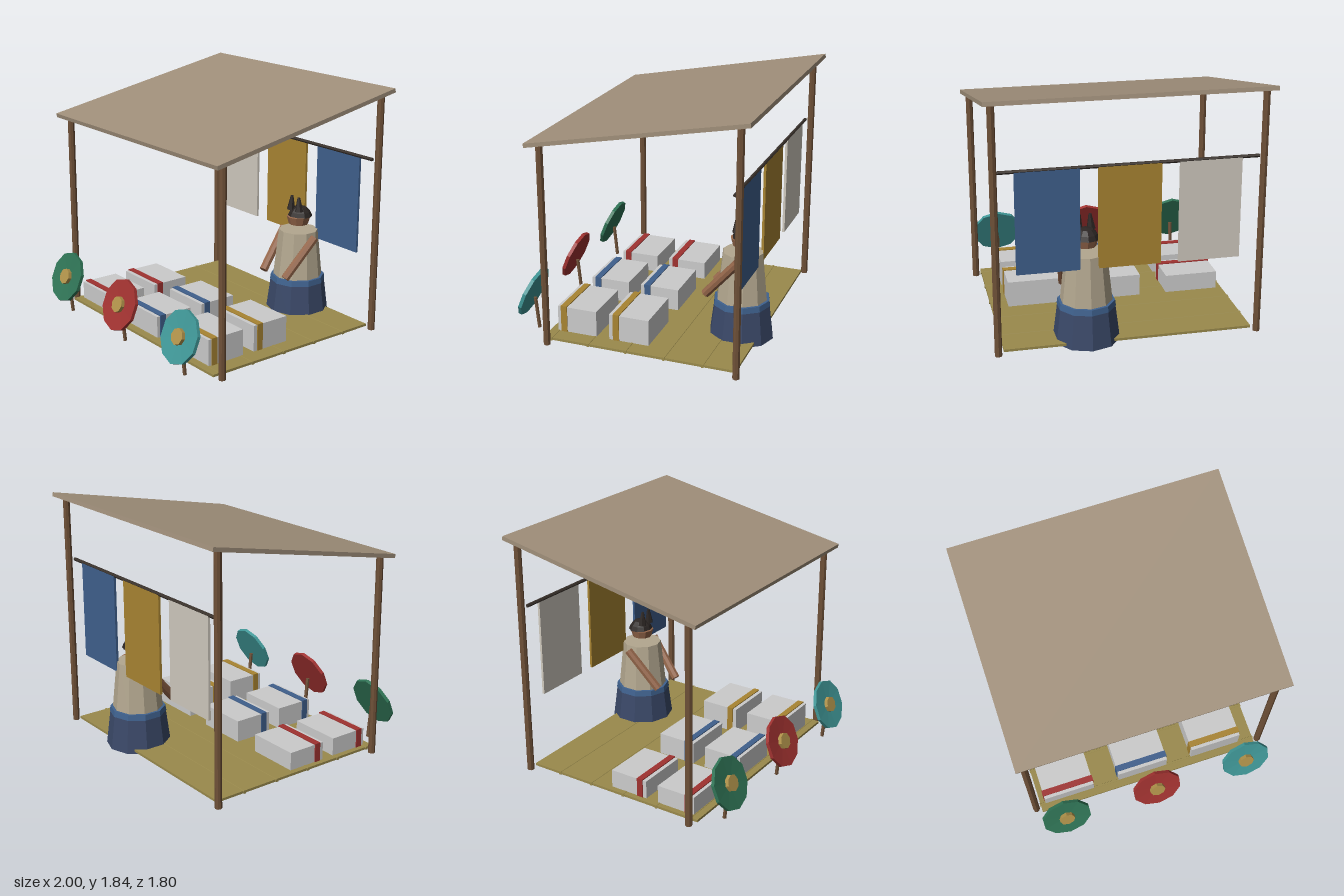
import * as THREE from 'three';

const mat = (color, side = THREE.FrontSide) =>
  new THREE.MeshStandardMaterial({ color, flatShading: true, side });

const M = {
  roof: mat(0xa08f7a), wood: mat(0x6f5138), rail: mat(0x3a322c), matting: mat(0x9a8a4c),
  grey: mat(0xcccccc), cream: mat(0xcfc9be), gold: mat(0xa88432), blue: mat(0x3f5f8c),
  red: mat(0xa03230), green: mat(0x2f7355), teal: mat(0x3f9696), hub: mat(0xb0924a),
  skin: mat(0x94664a), hair: mat(0x2c2624),
  robe: mat(0xb3a78f, THREE.DoubleSide), skirt: mat(0x3a4868, THREE.DoubleSide),
  sash: mat(0x3f628f, THREE.DoubleSide),
};

function add(parent, name, geometry, material, x = 0, y = 0, z = 0) {
  const mesh = new THREE.Mesh(geometry, material);
  mesh.name = name;
  mesh.position.set(x, y, z);
  parent.add(mesh);
  return mesh;
}

const box = (w, h, d) => new THREE.BoxGeometry(w, h, d);

// Rod between two points
function rod(parent, name, a, b, r, sides, material) {
  const from = new THREE.Vector3(...a), to = new THREE.Vector3(...b);
  const dir = to.clone().sub(from);
  const mesh = add(parent, name, new THREE.CylinderGeometry(r, r, dir.length(), sides), material);
  mesh.position.copy(from).add(to).multiplyScalar(0.5);
  mesh.quaternion.setFromUnitVectors(new THREE.Vector3(0, 1, 0), dir.normalize());
  return mesh;
}

function lathe(points, sides) {
  return new THREE.LatheGeometry(points.map(p => new THREE.Vector2(...p)), sides);
}

// Posts, sloping roof and hanging cloths
function buildFrame(group) {
  for (const x of [-0.94, 0.94]) {
    rod(group, 'frontPost', [x, 0, 0.615], [x, 1.515, 0.615], 0.026, 8, M.wood);
    rod(group, 'backPost', [x, 0, -0.815], [x, 1.8, -0.815], 0.026, 8, M.wood);
  }
  const roof = add(group, 'roof', box(2, 0.03, 1.63), M.roof, 0, 1.668, -0.095);
  roof.rotation.x = 0.192;

  rod(group, 'clothRail', [-0.92, 1.32, -0.775], [0.92, 1.32, -0.775], 0.013, 6, M.rail);
  [M.cream, M.gold, M.blue].forEach((m, i) =>
    add(group, 'hangingCloth', box(0.446, 0.74, 0.018), m, (i - 1) * 0.573, 0.95, -0.777));
}

// Floor mat with ribs along its width
function buildMat(group) {
  add(group, 'floorMat', box(1.8, 0.018, 1.46), M.matting, 0, 0.025, -0.07);
  for (let i = 0; i < 5; i++) {
    const z = -0.56 + i * 0.29;
    rod(group, 'matRib', [-0.905, 0.025, z], [0.905, 0.025, z], 0.014, 6, M.matting);
  }
}

// Two rows of strapped bundles, one strap colour to a column
function buildBundles(group) {
  [M.red, M.blue, M.gold].forEach((strap, i) => {
    const x = -0.655 + i * 0.613, h = 0.14 + i * 0.03;
    for (const [z, strapZ] of [[0.45, 0.553], [0.045, 0.143]]) {
      const bundle = new THREE.Group();
      bundle.name = 'bundle';
      bundle.position.set(x, 0.03, z);
      add(bundle, 'bundleBody', box(0.405, h, 0.305), M.grey, 0, h / 2, 0);
      add(bundle, 'bundleStrap', box(0.417, h + 0.01, 0.048), strap, 0, h / 2 + 0.002, strapZ - z);
      group.add(bundle);
    }
  });
}

// Tilted round fans on short stakes
function buildFans(group) {
  const disc = lathe([[0, -0.012], [0.193, -0.012], [0.193, 0.014], [0, 0.002]], 10);
  const hub = new THREE.CylinderGeometry(0.06, 0.06, 0.035, 8);
  disc.rotateX(Math.PI / 2);
  hub.rotateX(Math.PI / 2);
  [M.green, M.red, M.teal].forEach((m, i) => {
    const x = (i - 1) * 0.735;
    const fan = new THREE.Group();
    fan.name = 'fan';
    fan.position.set(x, 0.297, 0.815);
    fan.rotation.x = -0.385;
    add(fan, 'fanDisc', disc, m);
    add(fan, 'fanHub', hub, M.hub, 0, 0, 0.016);
    group.add(fan);
    rod(group, 'fanStake', [x, 0.01, 0.778], [x, 0.25, 0.803], 0.015, 6, M.wood);
  });
}

// Seller standing at the back
function buildSeller(group) {
  const seller = new THREE.Group();
  seller.name = 'seller';
  seller.position.set(0.285, 0, -0.65);
  add(seller, 'skirt', lathe([[0.242, 0], [0.205, 0.29]], 10), M.skirt);
  add(seller, 'sash', lathe([[0.213, 0.255], [0.207, 0.298], [0.18, 0.298]], 10), M.sash);
  add(seller, 'robe', lathe([[0.19, 0.28], [0.15, 0.66], [0, 0.66]], 10), M.robe);
  add(seller, 'head', lathe([[0, 0.705], [0.075, 0.705], [0.092, 0.765], [0, 0.8]], 10), M.skin);
  add(seller, 'hair', lathe([[0, 0.765], [0.095, 0.765], [0.08, 0.8], [0.05, 0.833], [0, 0.843]], 10),
    M.hair, 0, 0, -0.013);
  for (const s of [-1, 1]) {
    rod(seller, 'arm', [s * 0.175, 0.63, -0.01], [s * 0.125, 0.34, 0.24], 0.034, 8, M.skin);
    const knot = add(seller, 'hairKnot', new THREE.CylinderGeometry(0.011, 0.033, 0.11, 6), M.hair,
      s * 0.042, 0.87, 0.037);
    knot.rotation.z = s * 0.07;
  }
  group.add(seller);
}

export function createModel() {
  const group = new THREE.Group();
  group.name = 'marketStall';
  buildFrame(group);
  buildMat(group);
  buildBundles(group);
  buildFans(group);
  buildSeller(group);
  return group;
}
